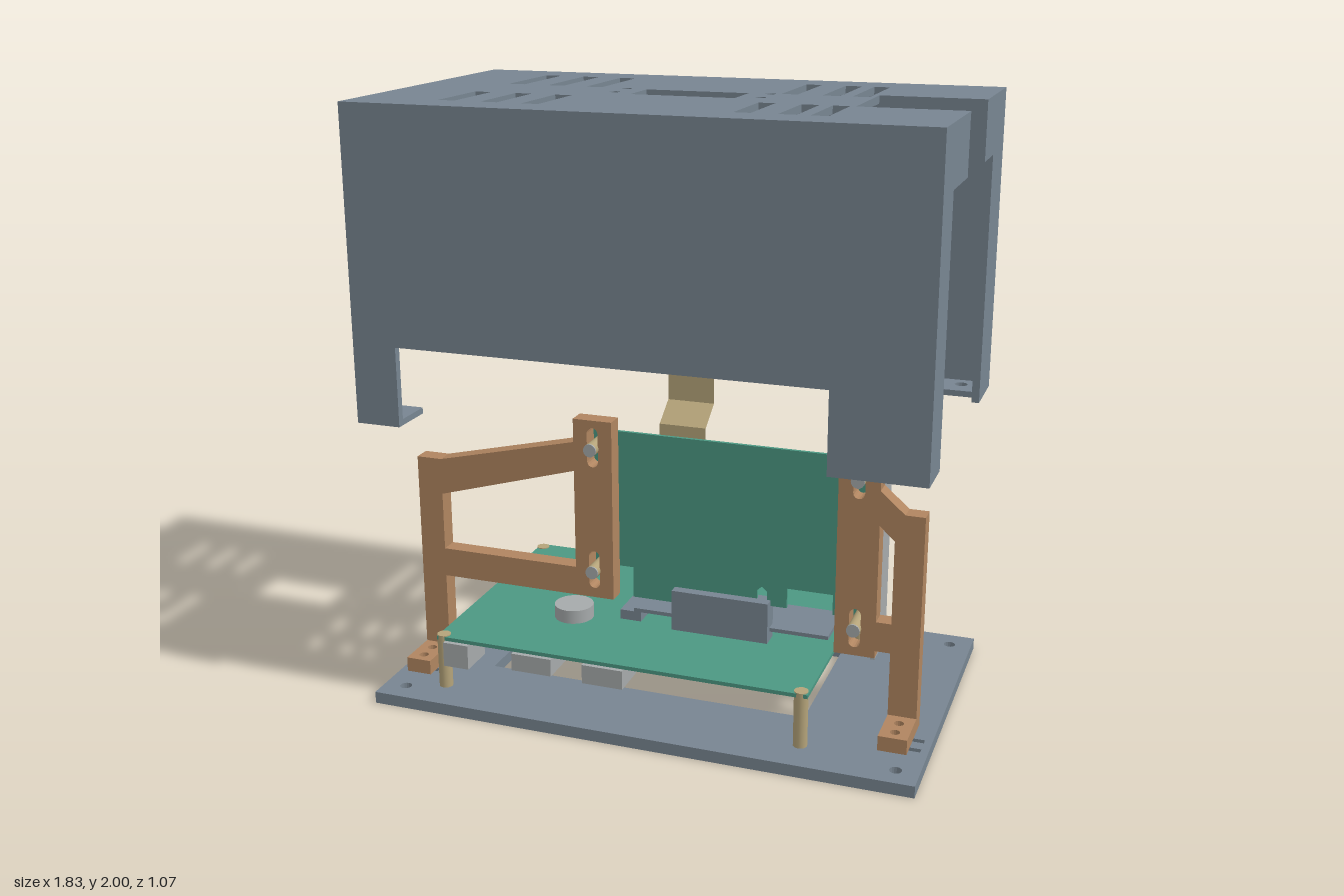
import * as THREE from 'three';

const mat = (name, color) => {
  const m = new THREE.MeshStandardMaterial({ color });
  m.name = name;
  return m;
};
const slate = mat('slate', 0x788591);
const brown = mat('brown', 0xb08560);
const green = mat('green', 0x4c9883);
const silver = mat('silver', 0xa6aaab);
const gold = mat('gold', 0xb5a47a);
const ribbonGold = mat('ribbon gold', 0xb5a47a);
ribbonGold.side = THREE.DoubleSide;

// Outline helpers, all returning lists of 2D points
const rect = (x0, x1, y0, y1) => [[x0, y0], [x1, y0], [x1, y1], [x0, y1]];
const circle = (x, y, r, n = 16) => Array.from({ length: n }, (_, i) => {
  const a = (i / n) * Math.PI * 2;
  return [x + r * Math.cos(a), y + r * Math.sin(a)];
});
const slot = (x, y0, y1, r) => Array.from({ length: 18 }, (_, i) => {
  const top = i < 9, a = ((top ? i : i - 1) / 8) * Math.PI;
  return [x + r * Math.cos(a), (top ? y1 - r : y0 + r) + r * Math.sin(a)];
});
const vecs = (pts) => pts.map(([x, y]) => new THREE.Vector2(x, y));

export function createModel() {
  const model = new THREE.Group();
  const group = (name) => {
    const g = new THREE.Group();
    g.name = name;
    model.add(g);
    return g;
  };
  const add = (parent, name, geo, material) => {
    const m = new THREE.Mesh(geo, material);
    m.name = name;
    parent.add(m);
    return m;
  };
  const box = (parent, name, material, x0, x1, y0, y1, z0, z1) =>
    add(parent, name, new THREE.BoxGeometry(x1 - x0, y1 - y0, z1 - z0), material)
      .position.set((x0 + x1) / 2, (y0 + y1) / 2, (z0 + z1) / 2);

  // Extruded plate: 'xy' starts at z = at, 'xz' has its top at y = at, 'zy' has its +x face at x = at
  const plate = (parent, name, material, plane, at, depth, outline, holes = []) => {
    const shape = new THREE.Shape(vecs(outline));
    shape.holes = holes.map((h) => new THREE.Path(vecs(h)));
    const geo = new THREE.ExtrudeGeometry(shape, { depth, bevelEnabled: false });
    if (plane === 'xy') geo.translate(0, 0, at);
    if (plane === 'xz') geo.rotateX(Math.PI / 2).translate(0, at, 0);
    if (plane === 'zy') geo.rotateY(-Math.PI / 2).translate(at, 0, 0);
    add(parent, name, geo, material);
  };

  const W = 0.915, D = 0.535, T = 0.025;

  // Base plate with a large window, screw holes and small end slots
  const baseHoles = [rect(-0.62, 0.49, -0.31, 0.23)];
  for (const x of [-0.84, 0.84]) {
    for (const z of [-0.46, 0.46]) baseHoles.push(circle(x, z, 0.02));
    for (const z of [0.26, 0.32]) baseHoles.push(rect(x - 0.05, x + 0.05, z - 0.01, z + 0.01));
  }
  plate(model, 'basePlate', slate, 'xz', 0.04, 0.04, rect(-W, W, -D, D), baseHoles);

  // Raised cover: top with vents and a side notch
  const cover = group('cover');
  const vents = [rect(-0.16, 0.18, -0.085, 0.06)];
  for (const [a, b] of [[-0.65, -0.595], [-0.51, -0.455], [-0.375, -0.32],
    [0.283, 0.335], [0.415, 0.47], [0.51, 0.562]]) {
    vents.push(rect(a, b, -0.4, -0.1), rect(a, b, 0.15, 0.4));
  }
  for (const x of [-0.23, 0.25]) for (const z of [-0.09, 0.015]) vents.push(circle(x, z, 0.017));
  plate(cover, 'coverTop', slate, 'xz', 2, T,
    [[-W, -D], [W, -D], [W, -0.16], [0.58, -0.16], [0.58, 0.15], [W, 0.15], [W, D], [-W, D]], vents);
  // Long walls with a wide lower cut-out
  for (const z of [-D, D - T]) {
    plate(cover, 'coverLongWall', slate, 'xy', z, T,
      [[-W, 0.99], [-0.767, 0.99], [-0.767, 1.25], [0.617, 1.25], [0.617, 0.99], [W, 0.99], [W, 2], [-W, 2]]);
  }
  // Open end walls
  plate(cover, 'coverNotchedEnd', slate, 'zy', W, T,
    [[-D, 0.99], [-0.325, 0.99], [-0.325, 1.81], [-0.16, 1.81], [-0.16, 2], [-D, 2]]);
  plate(cover, 'coverNotchedEnd', slate, 'zy', W, T,
    [[D, 0.99], [D, 2], [0.152, 2], [0.152, 1.81], [0.38, 1.81], [0.38, 0.99]]);
  plate(cover, 'coverArchedEnd', slate, 'zy', -W + T, T,
    [[-D, 0.99], [-0.325, 0.99], [-0.325, 1.89], [0.38, 1.89], [0.38, 0.99], [D, 0.99], [D, 2], [-D, 2]]);
  // Screw tabs at the bottom corners
  for (const [x0, x1] of [[-W, -0.767], [0.75, W]]) {
    for (const [z0, z1] of [[-D, -0.38], [0.38, D]]) {
      plate(cover, 'coverTab', slate, 'xz', 1.01, 0.02, rect(x0, x1, z0, z1),
        [circle((x0 + x1) / 2, (z0 + z1) / 2, 0.022)]);
    }
  }

  // Horizontal circuit board on four pillars
  const lower = group('lowerBoardAssembly');
  box(lower, 'lowerBoard', green, -0.73, 0.55, 0.215, 0.228, -0.425, 0.43);
  for (const x of [-0.713, 0.525]) {
    for (const z of [-0.4, 0.41]) {
      add(lower, 'boardPillar', new THREE.CylinderGeometry(0.023, 0.023, 0.19, 16), gold).position.set(x, 0.136, z);
    }
  }
  box(lower, 'lowerModule', slate, -0.46, 0.085, 0.115, 0.215, -0.155, 0.155);
  for (const [x0, x1, y] of [[-0.02, 0.085, 0.09], [0.165, 0.275, 0.09], [0.355, 0.485, 0.1]]) {
    box(lower, 'rearSocket', silver, x0, x1, y, 0.215, -0.45, -0.31);
  }
  for (const [x0, x1, y] of [[-0.7, -0.61, 0.13], [-0.45, -0.31, 0.155], [-0.2, -0.06, 0.15]]) {
    box(lower, 'frontSocket', silver, x0, x1, y, 0.215, 0.32, 0.445);
  }
  add(lower, 'roundCell', new THREE.CylinderGeometry(0.067, 0.067, 0.047, 28), silver).position.set(-0.358, 0.251, 0.13);
  box(lower, 'cardRail', slate, -0.15, 0.53, 0.262, 0.275, -0.1, 0.1);
  box(lower, 'cardRailEnd', slate, -0.2, -0.125, 0.228, 0.262, -0.1, 0.1);
  box(lower, 'edgeConnector', slate, -0.005, 0.33, 0.228, 0.37, 0.06, 0.125);

  // Upright circuit board with a stepped lower edge
  const upper = group('uprightBoardAssembly');
  plate(upper, 'uprightBoard', green, 'xy', 0.078, 0.012,
    [[-0.3, 0.9], [-0.3, 0.42], [-0.155, 0.42], [-0.155, 0.312], [0.283, 0.312], [0.283, 0.4], [0.3, 0.415],
      [0.317, 0.4], [0.317, 0.35], [0.385, 0.35], [0.385, 0.42], [0.54, 0.42], [0.54, 0.35], [0.67, 0.35], [0.67, 0.9]]);
  box(upper, 'darkModule', slate, -0.135, 0.36, 0.47, 0.75, -0.07, 0.078);
  box(upper, 'lightModule', silver, 0.36, 0.665, 0.44, 0.67, 0.015, 0.078);
  box(upper, 'smallModule', slate, -0.29, -0.18, 0.7, 0.86, -0.03, 0.078);
  box(upper, 'ribbonSocket', silver, -0.08, 0.1, 0.83, 0.87, 0.035, 0.078);

  // Folded ribbon rising from its socket
  const ribbonPath = [[0.85, 0.055], [0.93, 0.055], [0.99, -0.03], [1.14, -0.03]];
  for (let i = 0; i < 3; i++) {
    const [y0, z0] = ribbonPath[i], [y1, z1] = ribbonPath[i + 1];
    const strip = add(upper, 'ribbon', new THREE.PlaneGeometry(0.16, Math.hypot(y1 - y0, z1 - z0)), ribbonGold);
    strip.position.set(0.01, (y0 + y1) / 2, (z0 + z1) / 2);
    strip.rotation.x = Math.atan2(z1 - z0, y1 - y0);
  }

  // Bent metal end bracket
  const metal = group('metalBracket');
  box(metal, 'metalStrip', silver, 0.67, 0.685, 0.213, 1.07, -0.075, 0.093);
  box(metal, 'metalFlange', silver, 0.67, 0.775, 1.057, 1.07, -0.075, 0.093);

  // Support frames with adjustment slots and feet
  const frames = group('supportFrames');
  const Z0 = 0.155, ZT = 0.06;
  plate(frames, 'rightSlotBar', brown, 'xy', Z0, ZT, rect(-0.312, -0.178, 0.35, 0.97),
    [slot(-0.245, 0.81, 0.945, 0.019), slot(-0.245, 0.383, 0.515, 0.019)]);
  plate(frames, 'rightFrame', brown, 'xy', Z0, ZT,
    [[-0.888, 0.04], [-0.8, 0.04], [-0.8, 0.35], [-0.312, 0.35], [-0.312, 0.89], [-0.8, 0.775], [-0.888, 0.775]],
    [[[-0.8, 0.45], [-0.312, 0.45], [-0.312, 0.79], [-0.8, 0.65]]]);
  plate(frames, 'leftSlotBar', brown, 'xy', Z0, ZT, rect(0.577, 0.71, 0.28, 0.97),
    [slot(0.643, 0.81, 0.945, 0.019), slot(0.643, 0.308, 0.44, 0.019)]);
  plate(frames, 'leftFrame', brown, 'xy', Z0, ZT,
    [[0.76, 0.04], [0.853, 0.04], [0.853, 0.775], [0.79, 0.775], [0.71, 0.845], [0.71, 0.305], [0.76, 0.305]],
    [[[0.711, 0.405], [0.76, 0.405], [0.76, 0.685], [0.711, 0.73]]]);
  for (const [x0, x1] of [[-0.888, -0.8], [0.76, 0.853]]) {
    plate(frames, 'frameFoot', brown, 'xz', 0.09, 0.05, rect(x0, x1, 0.2, 0.36),
      [circle((x0 + x1) / 2, 0.26, 0.016), circle((x0 + x1) / 2, 0.32, 0.016)]);
  }

  // Spacers through the slots with screw ends
  for (const [x, y] of [[-0.245, 0.875], [-0.245, 0.447], [0.643, 0.875], [0.643, 0.375]]) {
    const spacer = add(frames, 'spacer', new THREE.CylinderGeometry(0.022, 0.022, 0.145, 16), gold);
    const screw = add(frames, 'screwEnd', new THREE.CylinderGeometry(0.022, 0.022, 0.006, 16), silver);
    spacer.position.set(x, y, 0.1625);
    screw.position.set(x, y, 0.238);
    spacer.rotation.x = screw.rotation.x = Math.PI / 2;
  }
  return model;
}
